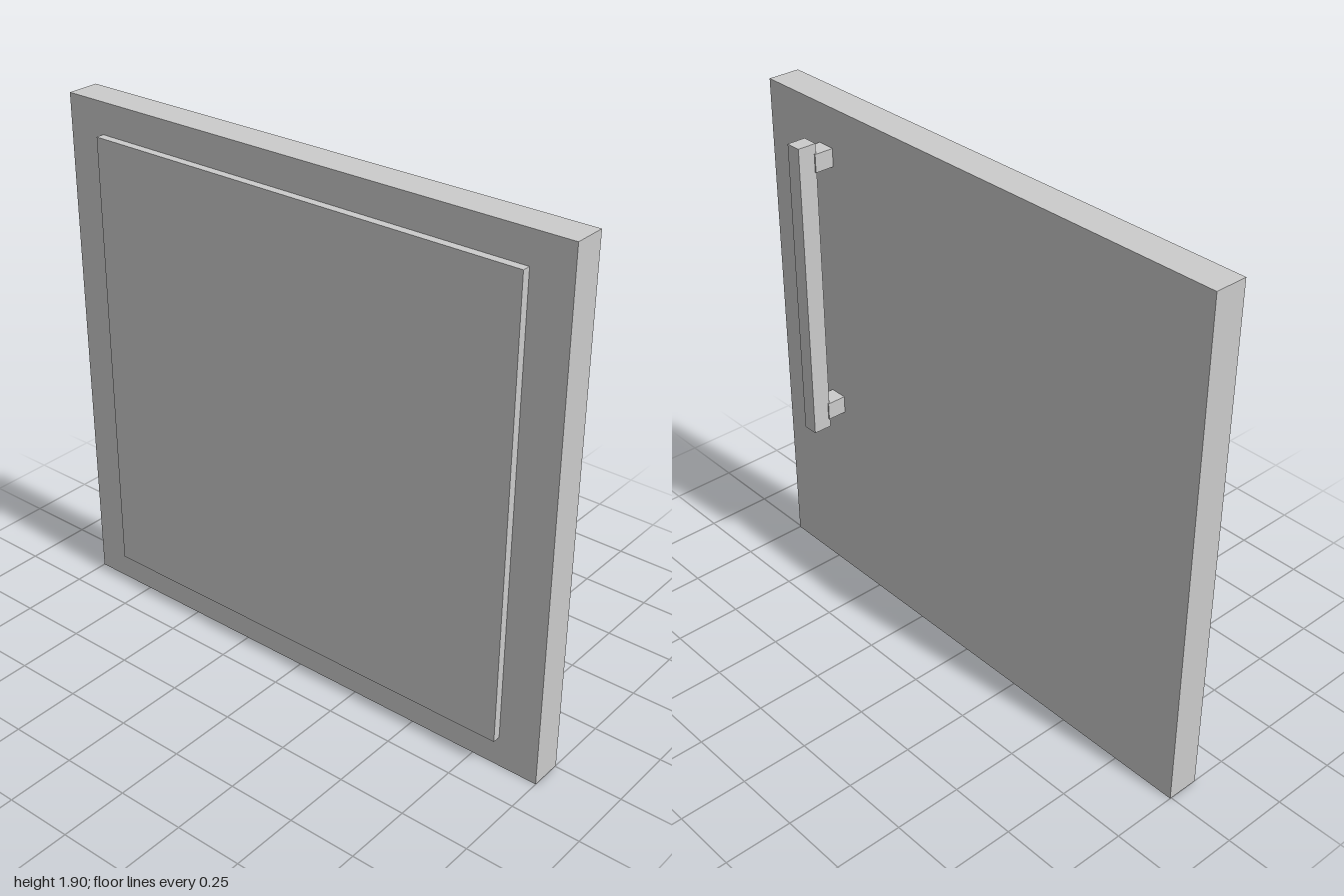
import * as THREE from 'three';

const material = new THREE.MeshStandardMaterial({ color: 0xcccccc, flatShading: true });

// Box given by its lower and upper corners
function box(name, [x0, y0, z0], [x1, y1, z1]) {
  const mesh = new THREE.Mesh(new THREE.BoxGeometry(x1 - x0, y1 - y0, z1 - z0), material);
  mesh.position.set((x0 + x1) / 2, (y0 + y1) / 2, (z0 + z1) / 2);
  mesh.name = name;
  return mesh;
}

export function createModel() {
  const door = new THREE.Group();
  door.name = 'door';

  // Main slab, with a thinner raised panel on its inner side
  door.add(box('slab', [-0.115, 0, -1], [0.005, 1.9, 1]));
  door.add(box('innerPanel', [-0.145, 0.115, -0.85], [-0.115, 1.785, 0.85]));

  // Upright bar handle held by two square mounts
  const handle = new THREE.Group();
  handle.name = 'handle';
  handle.add(box('handleBar', [0.07, 0.675, 0.672], [0.14, 1.79, 0.73]));
  for (const [name, y] of [['lowerMount', 0.743], ['upperMount', 1.721]]) {
    handle.add(box(name, [0.005, y - 0.033, 0.667], [0.077, y + 0.033, 0.735]));
  }
  door.add(handle);
  return door;
}
